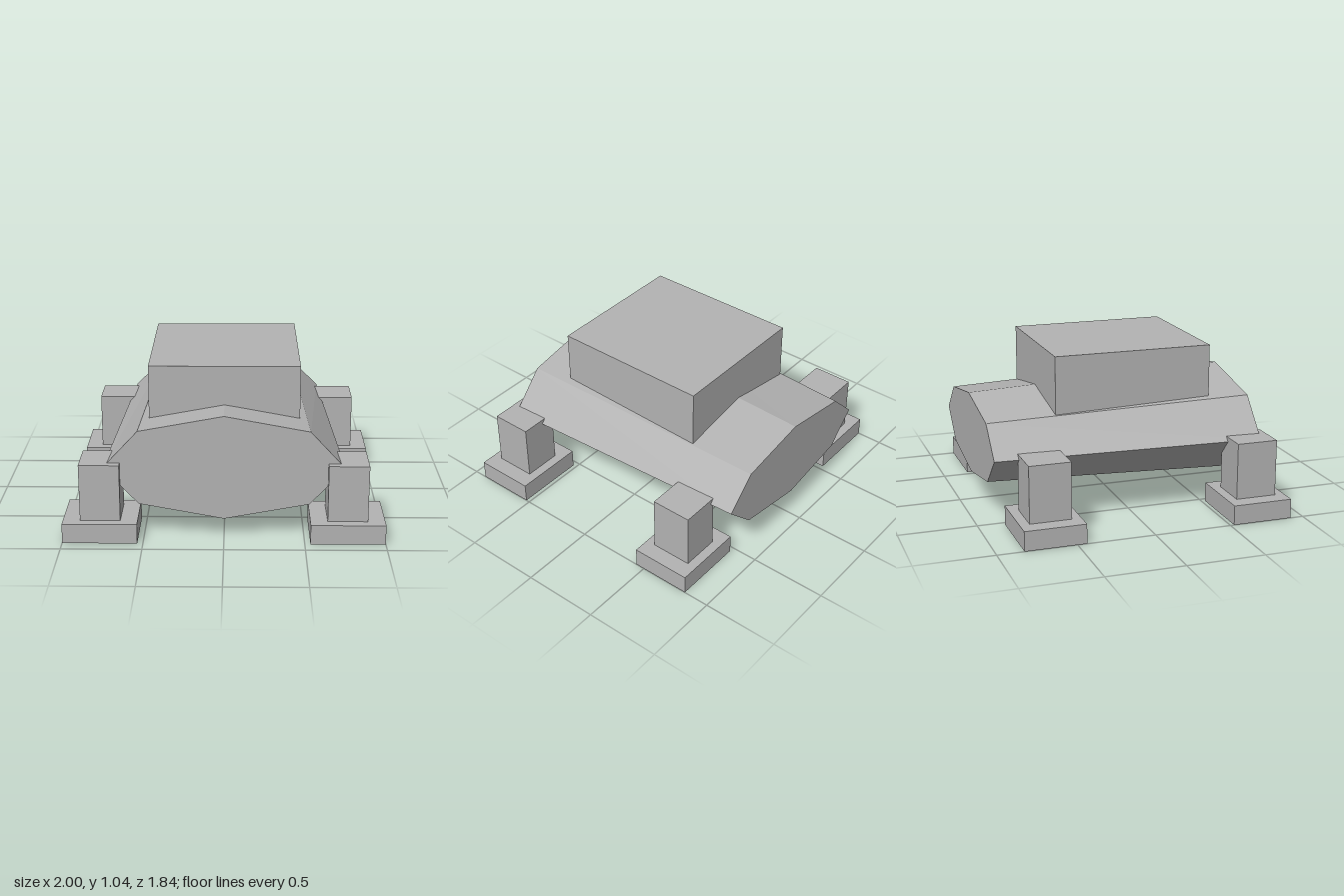
import * as THREE from 'three';

export function createModel() {
  const model = new THREE.Group();
  model.name = 'walkerVehicle';
  const grey = new THREE.MeshStandardMaterial({ color: 0xb3b3b3, flatShading: true });
  grey.name = 'plainGrey';

  // Box given by its lower and upper corners
  const box = (name, [x0, y0, z0], [x1, y1, z1], parent) => {
    const mesh = new THREE.Mesh(new THREE.BoxGeometry(x1 - x0, y1 - y0, z1 - z0), grey);
    mesh.position.set((x0 + x1) / 2, (y0 + y1) / 2, (z0 + z1) / 2);
    mesh.name = name;
    parent.add(mesh);
  };

  // Hull: flattened octagonal prism tapering towards the back
  const zBack = -0.92, zFront = 0.81;
  const hullGeometry = new THREE.CylinderGeometry(1, 1, zFront - zBack, 8, 1);
  hullGeometry.rotateX(Math.PI / 2);
  hullGeometry.translate(0, 0.46, (zFront + zBack) / 2);
  const p = hullGeometry.attributes.position;
  for (let i = 0; i < p.count; i++) {
    const t = (p.getZ(i) - zBack) / (zFront - zBack);
    p.setX(i, p.getX(i) * THREE.MathUtils.lerp(0.663, 0.748, t));
    p.setY(i, 0.46 + (p.getY(i) - 0.46) * THREE.MathUtils.lerp(0.267, 0.336, t));
  }
  hullGeometry.computeVertexNormals();
  const hull = new THREE.Mesh(hullGeometry, grey);
  hull.name = 'hull';
  model.add(hull);

  // Cabin block sunk into the hull
  box('cabin', [-0.473, 0.6, -0.475], [0.473, 1.037, 0.56], model);

  // Four legs, each a post on a square foot
  for (const [end, z] of [['front', 0.72], ['back', -0.635]]) {
    for (const [side, s] of [['Left', 1], ['Right', -1]]) {
      const leg = new THREE.Group();
      leg.name = end + side + 'Leg';
      leg.position.set(s * 0.767, 0, z);
      box('post', [-0.125, 0.125, -0.133], [0.125, 0.49, 0.133], leg);
      box('foot', [-0.232, 0, -0.195], [0.232, 0.126, 0.195], leg);
      model.add(leg);
    }
  }
  return model;
}
